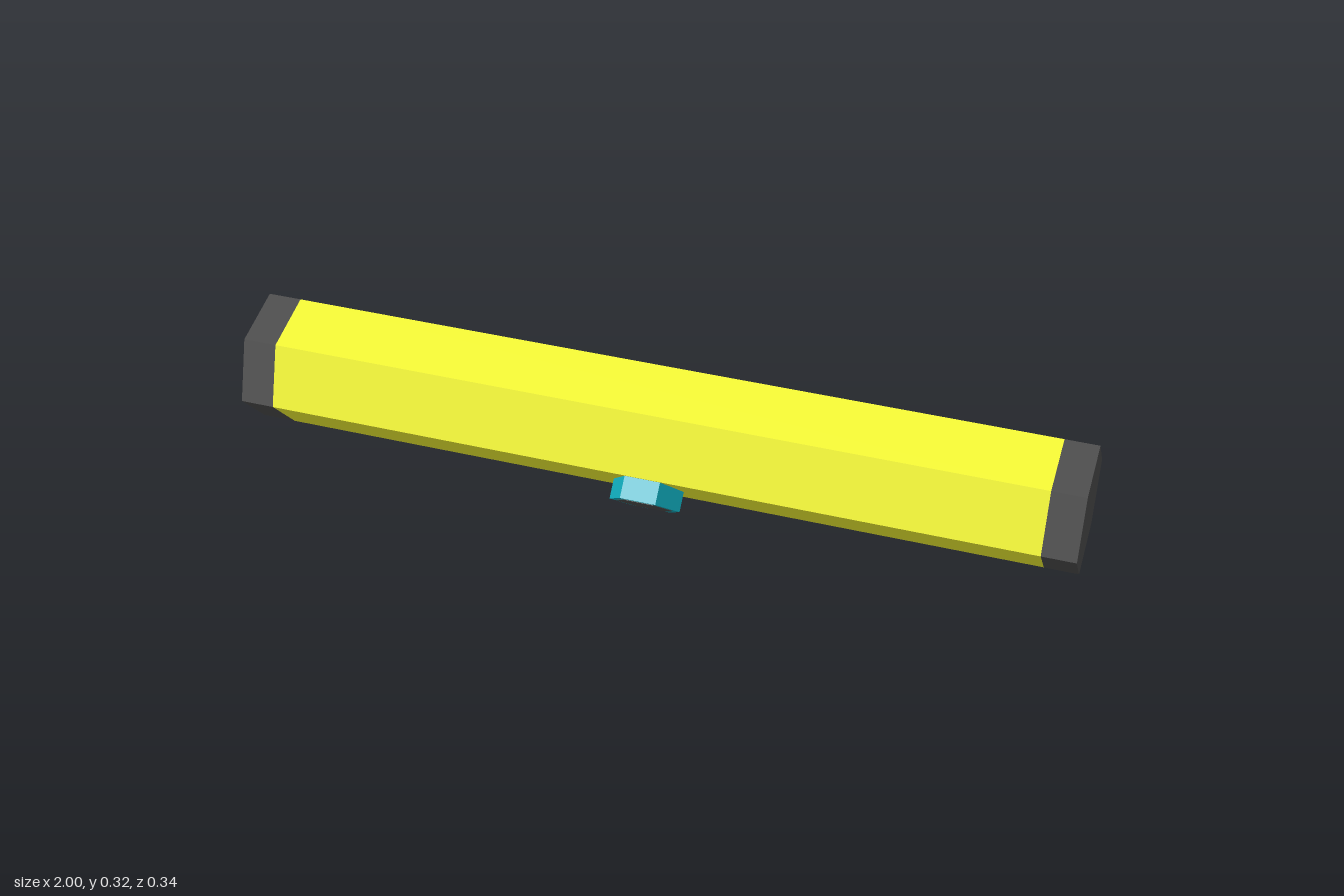
import * as THREE from 'three';

const material = (color) => new THREE.MeshStandardMaterial({ color, flatShading: true });

// Six-sided prism along y
function hexPrism(radius, length, start, open = false) {
  return new THREE.CylinderGeometry(radius, radius, length, 6, 1, open, start);
}

export function createModel() {
  const model = new THREE.Group();
  model.name = 'hexagonalTube';
  const yellow = material(0xf2f532);
  const dark = material(0x4b4b4b);
  const teal = material(0x10aabb);

  function add(name, geometry, mat, x, y, z) {
    const mesh = new THREE.Mesh(geometry, mat);
    mesh.name = name;
    mesh.position.set(x, y, z);
    model.add(mesh);
  }

  // Long barrel lying along x, rolled slightly
  const radius = 0.155, roll = 0.85, cy = 0.175, cz = -0.017;
  add('barrel', hexPrism(radius, 1.84, roll, true).rotateZ(Math.PI / 2), yellow, 0, cy, cz);

  // Matching end caps
  for (const side of [-1, 1]) {
    add(side > 0 ? 'leftCap' : 'rightCap',
      hexPrism(radius, 0.08, roll).rotateZ(Math.PI / 2), dark, side * 0.96, cy, cz);
  }

  // Button facing forward and down, with a dark inset on its face
  const tilt = Math.PI * 0.75, c = Math.SQRT1_2;
  const addButtonPart = (name, r, depth, offset, mat) => {
    const out = offset - depth / 2;
    add(name, hexPrism(r, depth, Math.PI / 2).rotateX(tilt), mat,
      0, 0.053 - c * out, 0.118 + c * out);
  };
  addButtonPart('button', 0.085, 0.07, 0, teal);
  addButtonPart('buttonFace', 0.068, 0.01, 0.001, dark);

  return model;
}
